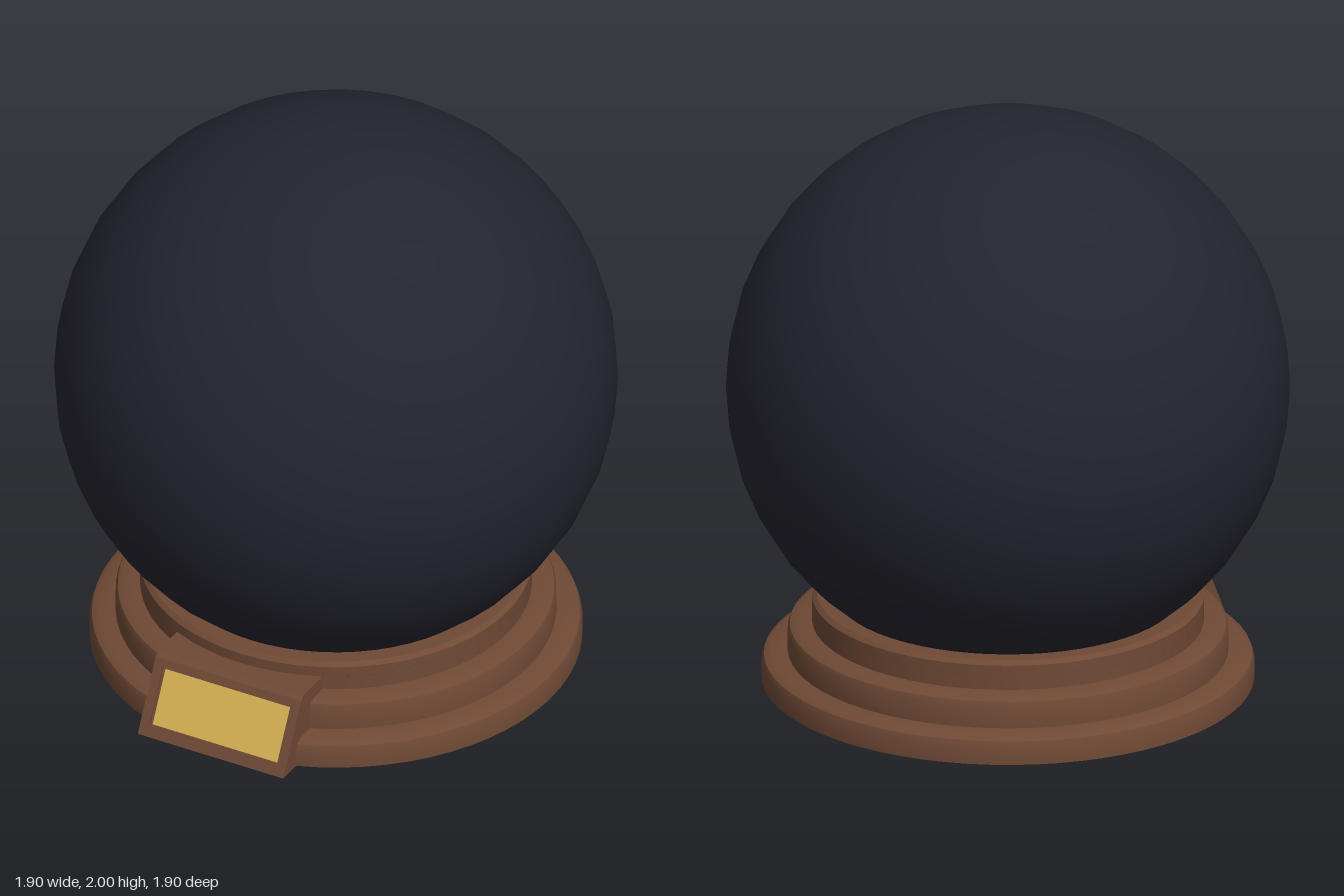
import * as THREE from 'three';
import { toCreasedNormals } from 'three/addons/utils/BufferGeometryUtils.js';

const HALF = 0.28; // half width of the plaque holder

export function createModel() {
  const model = new THREE.Group();
  model.name = 'crystalBall';

  const glass = new THREE.MeshStandardMaterial({ color: 0x24242f });
  glass.name = 'dark glass';
  const wood = new THREE.MeshStandardMaterial({ color: 0x6f4935, side: THREE.DoubleSide });
  wood.name = 'brown wood';
  const gold = new THREE.MeshStandardMaterial({ color: 0xd6b252, side: THREE.DoubleSide });
  gold.name = 'gold';

  function add(parent, name, geometry, material) {
    const mesh = new THREE.Mesh(geometry, material);
    mesh.name = name;
    parent.add(mesh);
    return mesh;
  }

  // Turned ring; gap is the half width of a straight-sided opening at the front
  function ring(profile, gap) {
    const segments = 60;
    const g = new THREE.LatheGeometry(profile.map(([r, y]) => new THREE.Vector2(r, y)), segments);
    const p = g.attributes.position;
    const n = profile.length;
    for (let i = 0; i < p.count; i++) {
      const [r, y] = profile[i % n];
      const a = Math.asin(gap / r);
      const phi = a + Math.floor(i / n) / segments * (Math.PI * 2 - 2 * a);
      p.setXYZ(i, r * Math.sin(phi), y, r * Math.cos(phi));
    }
    return toCreasedNormals(g, 0.6);
  }

  // Flat strips across the holder, following [z, y] points
  function strips(points) {
    const pos = [];
    for (let i = 0; i + 1 < points.length; i++) {
      const [z0, y0] = points[i], [z1, y1] = points[i + 1];
      pos.push(-HALF, y0, z0, HALF, y0, z0, HALF, y1, z1);
      pos.push(-HALF, y0, z0, HALF, y1, z1, -HALF, y1, z1);
    }
    const g = new THREE.BufferGeometry();
    g.setAttribute('position', new THREE.Float32BufferAttribute(pos, 3));
    g.computeVertexNormals();
    return g;
  }

  const shapeOf = (pts) => new THREE.Shape(pts.map(([x, y]) => new THREE.Vector2(x, y)));
  const rect = (w, y0, y1) => [[-w, y0], [w, y0], [w, y1], [-w, y1]];

  // Ball
  const ball = add(model, 'ball', new THREE.SphereGeometry(0.95, 40, 20), glass);
  ball.position.y = 1.05;

  // Hollow stepped base, cut open behind the plaque, with a whole rim above
  const base = new THREE.Group();
  base.name = 'base';
  model.add(base);
  add(base, 'baseTiers', ring([
    [0.83, 0], [0.83, 0.06], [0.822, 0.082], [0.8, 0.095], [0.742, 0.098],
    [0.742, 0.175], [0.735, 0.192], [0.715, 0.202], [0.66, 0.205], [0.66, 0.255],
  ], HALF), wood);
  add(base, 'baseRim', ring([
    [0.66, 0.255], [0.66, 0.292], [0.645, 0.305], [0.588, 0.305],
  ], 0), wood);

  // Plaque holder: top, two sides and a sloping front
  const holder = new THREE.Group();
  holder.name = 'plaqueHolder';
  model.add(holder);
  add(holder, 'holderTop', strips([[0.745, 0.24], [0.725, 0.255], [0.6, 0.255]]), wood);

  const side = new THREE.ShapeGeometry(shapeOf([
    [0.87, 0], [0.745, 0.24], [0.725, 0.255], [0.598, 0.255], [0.598, 0.205],
    [0.658, 0.202], [0.687, 0.175], [0.687, 0.098], [0.75, 0.095], [0.781, 0.06], [0.781, 0],
  ])).rotateY(-Math.PI / 2);
  for (const s of [-1, 1]) {
    add(holder, s < 0 ? 'holderSideRight' : 'holderSideLeft', side, wood).position.x = s * HALF;
  }

  const front = new THREE.Group();
  front.name = 'slopingFront';
  front.position.z = 0.87;
  front.rotation.x = -Math.atan2(0.125, 0.24);
  holder.add(front);

  const hole = () => new THREE.Path(rect(0.247, 0.037, 0.246).map(([x, y]) => new THREE.Vector2(x, y)));
  const face = shapeOf(rect(HALF, 0, Math.hypot(0.125, 0.24)));
  face.holes.push(hole());
  add(front, 'plaqueFrame', new THREE.ShapeGeometry(face), wood);

  const lipShape = shapeOf(rect(0.252, 0.032, 0.251));
  lipShape.holes.push(hole());
  const lip = new THREE.ExtrudeGeometry(lipShape, { depth: 0.014, bevelEnabled: false });
  add(front, 'plaqueLip', lip, wood).position.z = -0.015;

  // Gold plate, set back with a narrow wooden margin
  const margin = shapeOf(rect(0.25, 0.034, 0.249));
  margin.holes.push(new THREE.Path(rect(0.24, 0.044, 0.238).map(([x, y]) => new THREE.Vector2(x, y))));
  add(front, 'plaqueMargin', new THREE.ShapeGeometry(margin), wood).position.z = -0.012;
  add(front, 'plaque', new THREE.ShapeGeometry(shapeOf(rect(0.24, 0.044, 0.238))), gold).position.z = -0.012;

  return model;
}
